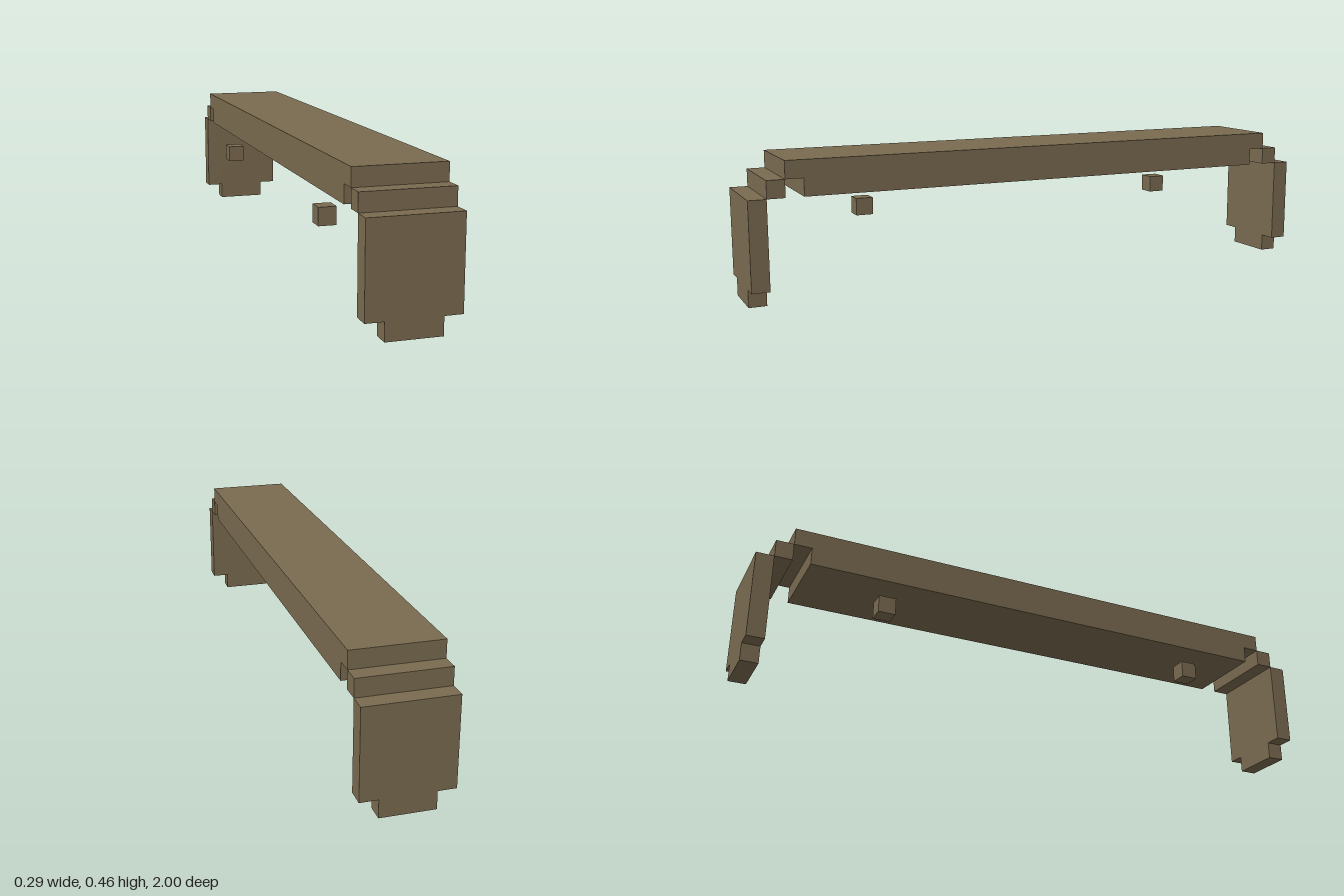
import * as THREE from 'three';

// One block unit: the model is 35 units long
const U = 2 / 35;

// Extrudes an outline given in block units, centred on its depth
function slab(points, depth) {
  const shape = new THREE.Shape(points.map(([a, b]) => new THREE.Vector2(a * U, b * U)));
  const geometry = new THREE.ExtrudeGeometry(shape, { depth: depth * U, bevelEnabled: false });
  return geometry.translate(0, 0, -depth * U / 2);
}

export function createModel() {
  const model = new THREE.Group();
  const brown = new THREE.MeshStandardMaterial({ color: 0x7a6b50 });
  brown.name = 'brown';

  const add = (name, geometry, x, y, z) => {
    const mesh = new THREE.Mesh(geometry, brown);
    mesh.name = name;
    mesh.position.set(x * U, y * U, z * U);
    model.add(mesh);
    return mesh;
  };

  // Long beam, its lower layer one unit shorter at each end
  const beam = slab([
    [-14.5, 6], [14.5, 6], [14.5, 7], [15.5, 7],
    [15.5, 8], [-15.5, 8], [-15.5, 7], [-14.5, 7],
  ], 5);
  add('beam', beam.rotateY(Math.PI / 2), 0, 0, 0);

  // End panel with a narrower foot
  const panel = slab([
    [-1.5, 0], [1.5, 0], [1.5, 1], [2.5, 1],
    [2.5, 6], [-2.5, 6], [-2.5, 1], [-1.5, 1],
  ], 1);
  const step = new THREE.BoxGeometry(5 * U, U, U);
  const peg = new THREE.BoxGeometry(U, U, U);

  for (const [end, s] of [['front', 1], ['back', -1]]) {
    add(end + 'Panel', panel, 0, 0, 17 * s);
    add(end + 'Step', step, 0, 6.5, 16 * s);
    // Small loose cube along the right edge only
    add(end + 'Peg', peg, -2, 4.5, 10 * s);
  }
  return model;
}
